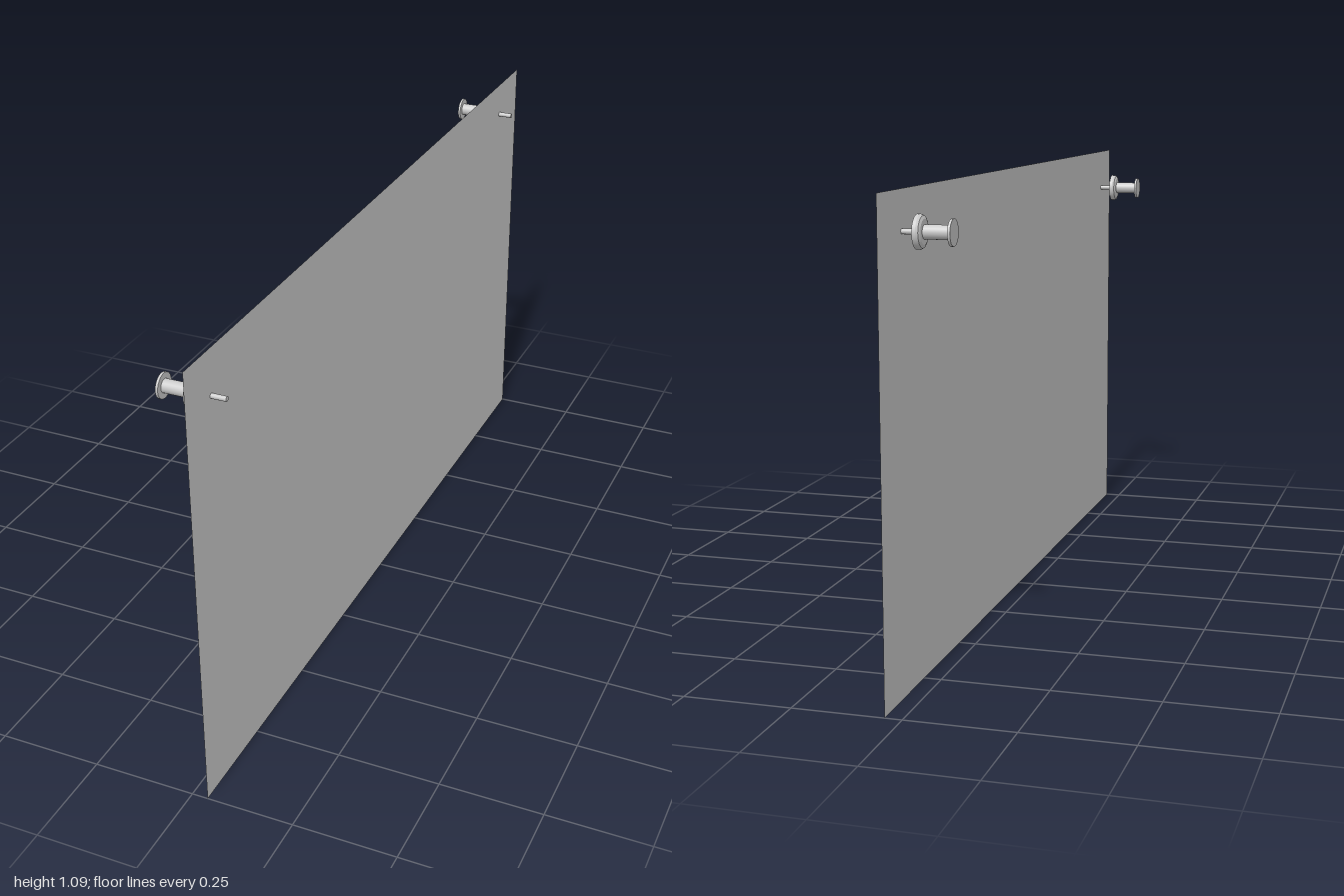
import * as THREE from 'three';

const material = new THREE.MeshStandardMaterial({ color: 0xcccccc });
const sheetMaterial = new THREE.MeshStandardMaterial({ color: 0xcccccc, side: THREE.DoubleSide });

// Turned part along +x; each profile entry is [x, radius].
// Every span gets its own lathe so the corners stay sharp.
function turned(name, profile, segments) {
  const part = new THREE.Group();
  part.name = name;
  for (let i = 0; i < profile.length - 1; i++) {
    const points = [profile[i], profile[i + 1]].map(([x, r]) => new THREE.Vector2(r, x));
    const geometry = new THREE.LatheGeometry(points, segments);
    geometry.rotateZ(-Math.PI / 2);
    const mesh = new THREE.Mesh(geometry, material);
    mesh.name = name + 'Surface';
    part.add(mesh);
  }
  return part;
}

// Push pin: flat head, round grip, bevelled collar and thin needle
function createPin(name, y, z) {
  const pin = new THREE.Group();
  pin.name = name;
  pin.add(
    turned('head', [[-0.075, 0], [-0.075, 0.029], [-0.069, 0.029], [-0.069, 0]], 24),
    turned('grip', [[-0.07, 0.0155], [-0.01, 0.0155]], 24),
    turned('collar', [[-0.011, 0], [-0.011, 0.027], [-0.008, 0.034], [-0.003, 0.037],
      [0.005, 0.037], [0.005, 0]], 24),
    turned('needle', [[0, 0.006], [0.075, 0.006], [0.075, 0]], 16),
  );
  pin.position.set(0, y, z);
  return pin;
}

export function createModel() {
  const model = new THREE.Group();
  model.name = 'pinnedSheet';

  // Thin sheet pierced by the needles
  const height = 1.09;
  const sheet = new THREE.Mesh(new THREE.PlaneGeometry(2, height), sheetMaterial);
  sheet.name = 'sheet';
  sheet.rotation.y = Math.PI / 2;
  sheet.position.set(0.039, height / 2, 0);
  model.add(sheet);

  // One pin near each upper corner
  model.add(createPin('frontPin', 0.982, 0.89), createPin('backPin', 1.002, -0.857));
  return model;
}
